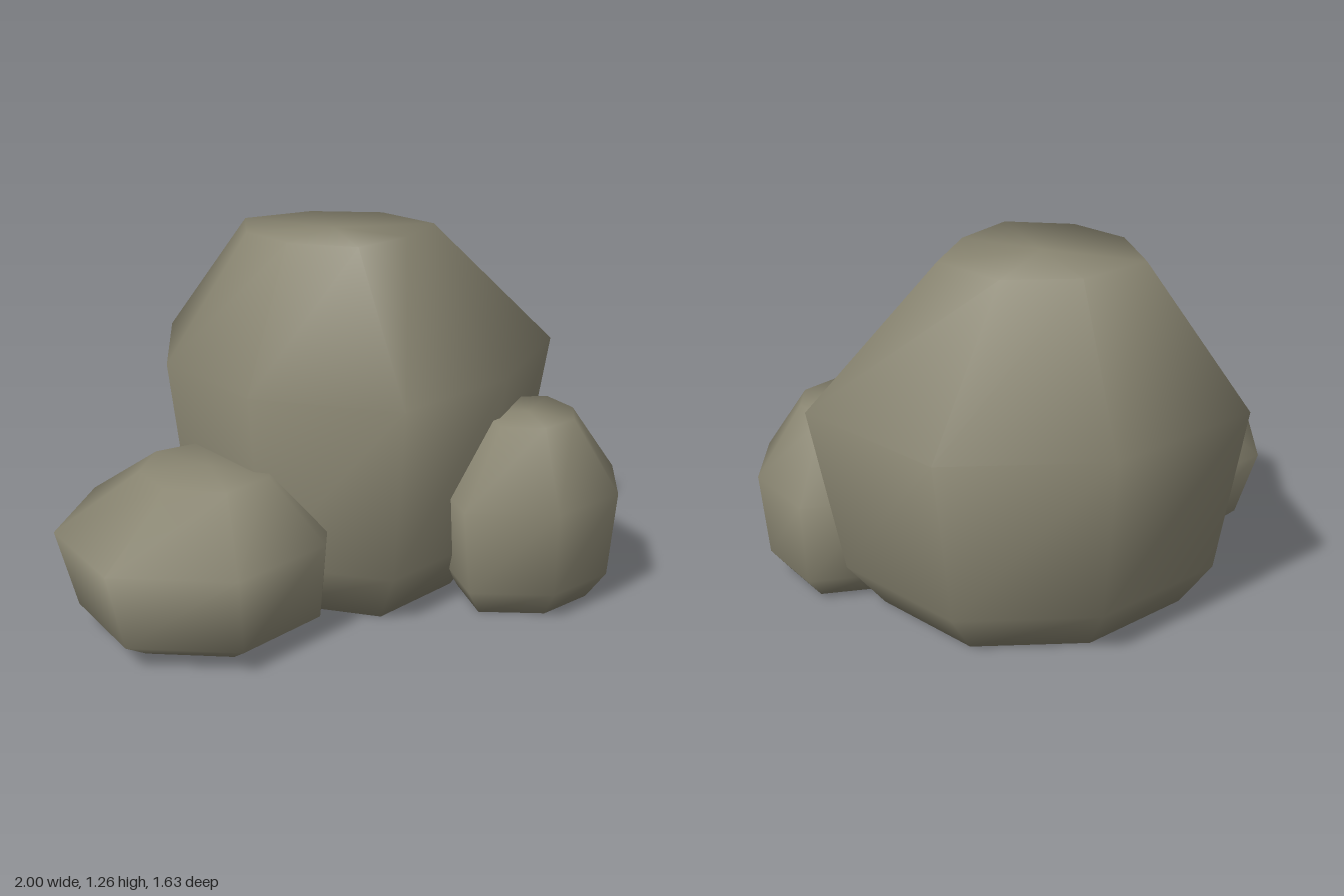
import * as THREE from 'three';

const stone = new THREE.MeshStandardMaterial({ color: 0x8a8672 });
stone.name = 'stone';

// Smooth boulder: one outline (x, z) scaled towards a centre at each height.
// Rings run from bottom to top: [y, scale, centre x, centre z].
function boulder(name, outline, rings) {
  const n = outline.length;
  const positions = [];
  const index = [];
  for (const [y, s, cx, cz] of rings) {
    for (const [x, z] of outline) positions.push(cx + (x - cx) * s, y, cz + (z - cz) * s);
  }
  // Walls
  for (let r = 0; r < rings.length - 1; r++) {
    for (let i = 0; i < n; i++) {
      const a = r * n + i, b = r * n + (i + 1) % n;
      index.push(a, b, b + n, a, b + n, a + n);
    }
  }
  // Flat base and flat top
  const last = rings.length - 1;
  const base = n * rings.length, top = base + 1;
  const mx = outline.reduce((t, p) => t + p[0], 0) / n;
  const mz = outline.reduce((t, p) => t + p[1], 0) / n;
  for (const [y, s, cx, cz] of [rings[0], rings[last]]) {
    positions.push(cx + (mx - cx) * s, y, cz + (mz - cz) * s);
  }
  for (let i = 0; i < n; i++) {
    const j = (i + 1) % n;
    index.push(base, j, i, top, last * n + i, last * n + j);
  }
  const geometry = new THREE.BufferGeometry();
  geometry.setAttribute('position', new THREE.Float32BufferAttribute(positions, 3));
  geometry.setIndex(index);
  geometry.computeVertexNormals();
  const mesh = new THREE.Mesh(geometry, stone);
  mesh.name = name;
  return mesh;
}

export function createModel() {
  const group = new THREE.Group();
  group.name = 'boulders';

  group.add(boulder('largeBoulder',
    [[0.13, 0.63], [0.55, 0.33], [0.865, -0.15], [0.57, -0.67],
      [0.02, -0.82], [-0.53, -0.61], [-0.585, -0.04], [-0.35, 0.40]],
    [[0, 0.72, 0, 0], [0.18, 0.875, 0, 0.02], [0.8, 1, 0, 0], [1.26, 0.47, -0.03, -0.07]]));

  group.add(boulder('flatBoulder',
    [[-0.43, 0.815], [-0.12, 0.58], [-0.05, 0.25], [-0.22, -0.12],
      [-0.52, -0.21], [-0.86, -0.07], [-1, 0.32], [-0.84, 0.71]],
    [[0, 0.69, -0.45, 0.3], [0.08, 0.9, -0.3, 0.5], [0.34, 1, 0, 0], [0.535, 0.48, -0.44, 0.3]]));

  group.add(boulder('smallBoulder',
    [[0.66, 0.63], [0.92, 0.48], [1, 0.21], [0.9, -0.08],
      [0.62, -0.115], [0.4, 0], [0.325, 0.25], [0.35, 0.56]],
    [[0, 0.72, 0.66, 0.26], [0.1, 0.91, 0.75, 0.22], [0.41, 1, 0, 0], [0.655, 0.48, 0.66, 0.28]]));

  return group;
}
